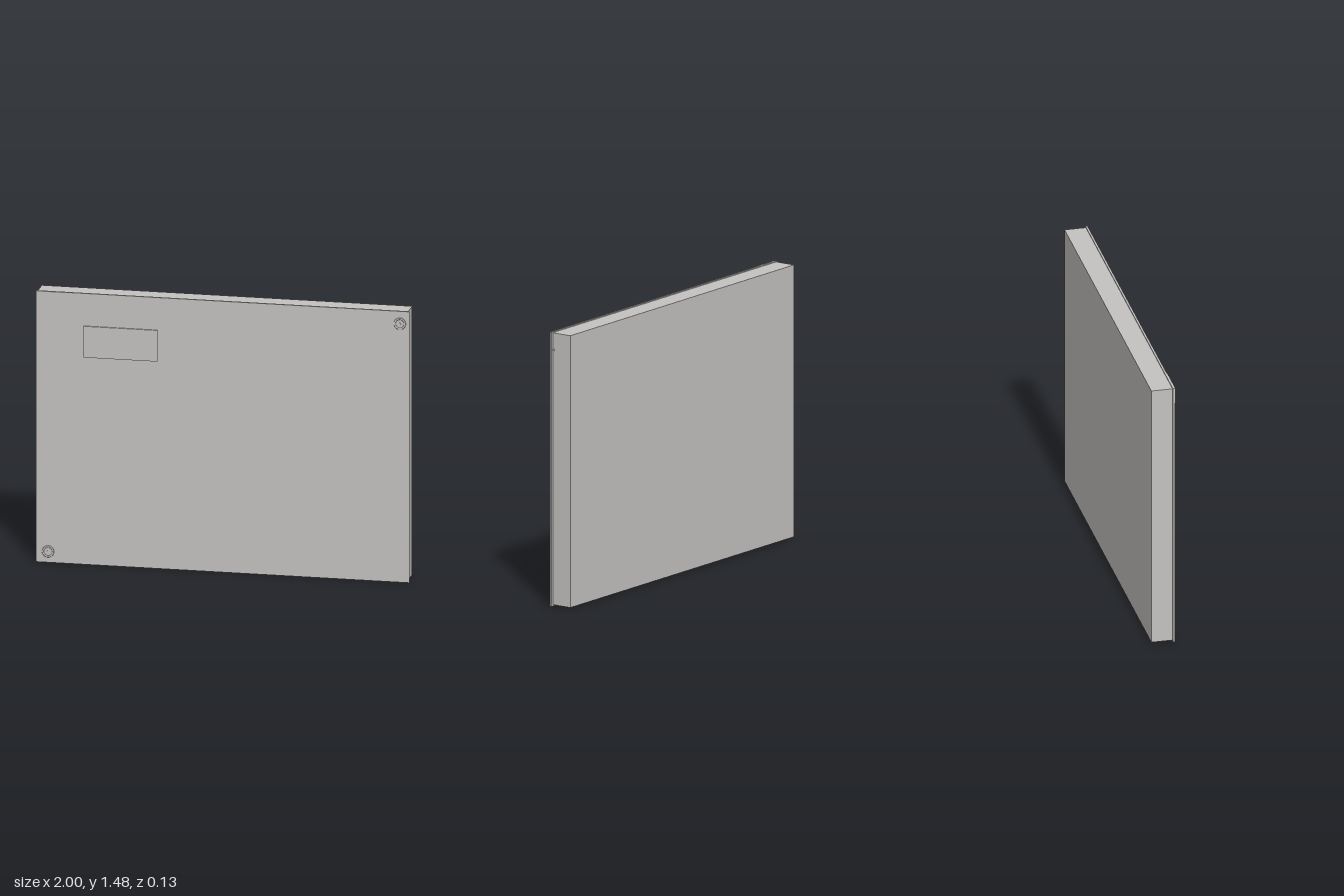
import * as THREE from 'three';

const mat = (name, color) => Object.assign(new THREE.MeshStandardMaterial({ color }), { name });

export function createModel() {
  const group = new THREE.Group();
  const grey = mat('warm grey', 0xc4c2c0);

  const add = (name, geometry, parent = group) => {
    const mesh = new THREE.Mesh(geometry, grey);
    mesh.name = name;
    parent.add(mesh);
    return mesh;
  };
  // Box given by its minimum and maximum corners
  const box = (name, [x0, y0, z0], [x1, y1, z1]) =>
    add(name, new THREE.BoxGeometry(x1 - x0, y1 - y0, z1 - z0)
      .translate((x0 + x1) / 2, (y0 + y1) / 2, (z0 + z1) / 2));

  // Cabinet body and the slightly larger door in front of it
  box('body', [-0.994, 0.008, -0.07], [0.985, 1.472, 0.044]);
  box('door', [-1, 0, 0.044], [0.995, 1.477, 0.055]);

  // Nameplate and thin corner plate on the door
  box('nameplate', [-0.745, 1.13, 0.055], [-0.35, 1.3, 0.063]);
  box('cornerPlate', [-1, 1.39, 0.055], [-0.82, 1.477, 0.058]);

  // Round locks: raised ring, recessed disc and a small centre pin
  const ring = [[0.022, 0], [0.022, 0.004], [0.025, 0.006], [0.03, 0.006], [0.032, 0.004], [0.032, 0]]
    .reverse().map(([r, h]) => new THREE.Vector2(r, h));
  for (const [x, y] of [[0.945, 1.41], [-0.935, 0.06]]) {
    const lock = new THREE.Group();
    lock.name = 'lock';
    lock.position.set(x, y, 0.055);
    lock.rotation.x = Math.PI / 2;
    group.add(lock);
    add('lockRing', new THREE.LatheGeometry(ring, 32), lock).material.side = THREE.DoubleSide;
    add('lockDisc', new THREE.CylinderGeometry(0.022, 0.022, 0.003, 32).translate(0, 0.0015, 0), lock);
    add('lockPin', new THREE.CylinderGeometry(0.006, 0.006, 0.005, 6).translate(0, 0.0025, 0), lock);
  }

  // Small catch pin on the side of the body
  add('catchPin', new THREE.CylinderGeometry(0.006, 0.006, 0.006, 12)
    .rotateZ(Math.PI / 2).translate(0.987, 1.38, 0.038));

  return group;
}
